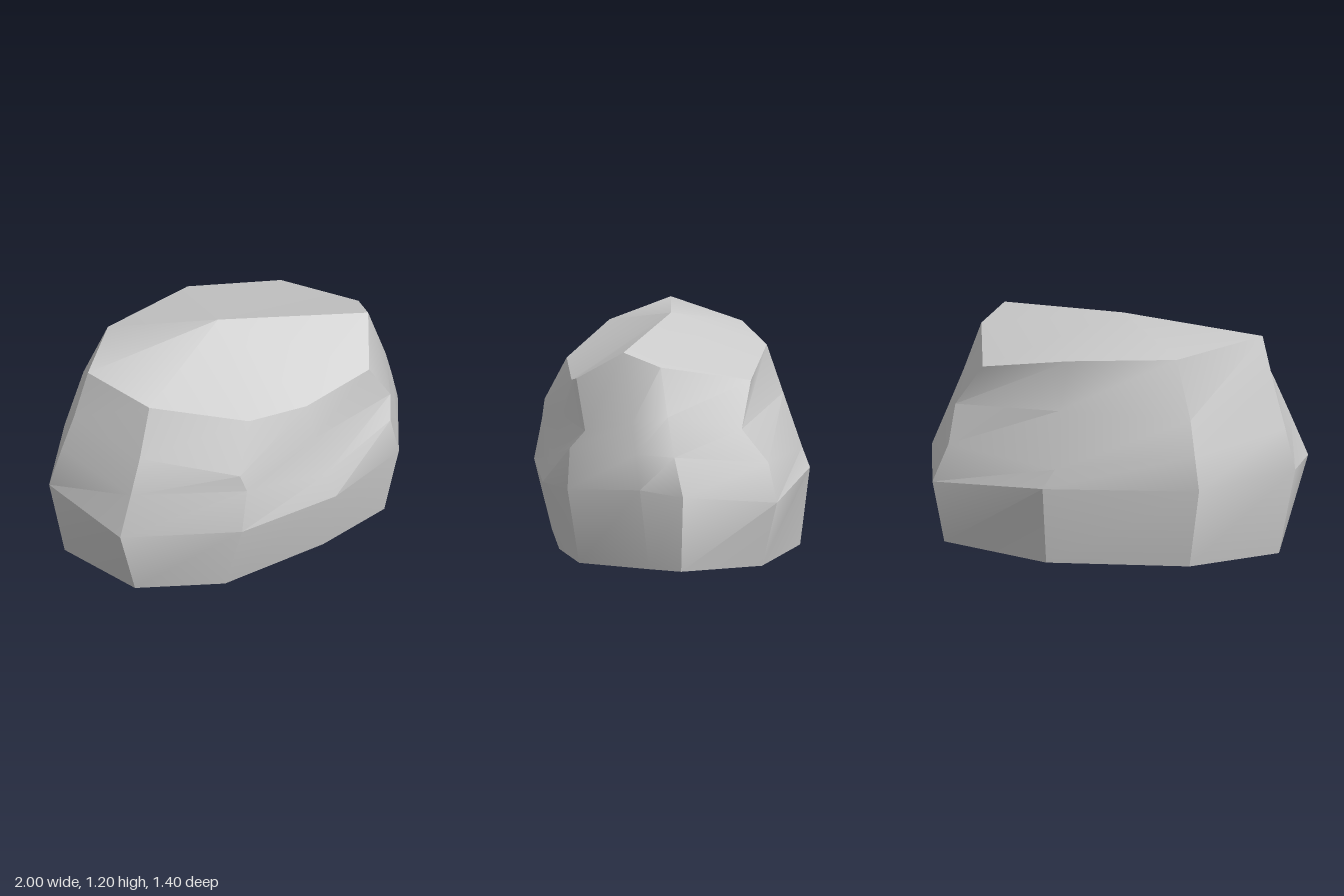
import * as THREE from 'three';
import { toCreasedNormals } from 'three/addons/utils/BufferGeometryUtils.js';

// Cross-sections from the ground to the crown. Each runs counterclockwise
// seen from above, starting at the back right: [x, y, z].
const rings = [
  // base
  [[-0.91, 0, -0.24], [-0.85, 0, 0.25], [-0.47, 0, 0.53], [0.14, 0, 0.61], [0.58, 0, 0.59],
    [0.84, 0, 0.27], [0.95, 0, 0.12], [0.85, 0, -0.33], [0.25, 0, -0.65], [-0.5, 0, -0.59]],
  // widest belt
  [[-1, 0.46, -0.26], [-0.97, 0.4, 0.27], [-0.44, 0.38, 0.63], [0.15, 0.36, 0.7], [0.62, 0.4, 0.66],
    [0.9, 0.43, 0.33], [1, 0.4, 0.12], [0.9, 0.34, -0.4], [0.26, 0.41, -0.7], [-0.56, 0.42, -0.64]],
  // lower shoulder
  [[-0.94, 0.68, -0.23], [-0.88, 0.62, 0.25], [-0.38, 0.6, 0.6], [0.13, 0.49, 0.65], [0.58, 0.61, 0.64],
    [0.85, 0.61, 0.34], [0.92, 0.6, 0.15], [0.82, 0.54, -0.37], [0.2, 0.51, -0.67], [-0.53, 0.6, -0.6]],
  // upper shoulder
  [[-0.88, 0.88, -0.2], [-0.8, 0.81, 0.23], [-0.41, 0.7, 0.58], [0.1, 0.7, 0.59], [0.64, 0.71, 0.57],
    [0.8, 0.77, 0.35], [0.84, 0.8, 0.17], [0.81, 0.72, -0.23], [0.2, 0.8, -0.57], [-0.5, 0.78, -0.56]],
  // crown rim
  [[-0.81, 1.15, -0.17], [-0.69, 1.06, 0.18], [-0.27, 0.94, 0.49], [0.09, 0.885, 0.535], [0.48, 0.96, 0.585],
    [0.66, 1.12, 0.37], [0.75, 1.05, 0.19], [0.65, 0.95, -0.31], [0.16, 1.05, -0.49], [-0.41, 1.08, -0.47]],
];
const peak = [-0.04, 1.2, -0.02];
const foot = [0, 0, 0];

function loftGeometry() {
  const n = rings[0].length;
  const top = rings.length - 1;
  const vertices = [...rings.flat(), peak, foot];
  const peakIndex = n * rings.length;
  const index = [];
  for (let j = 0; j < n; j++) {
    const k = (j + 1) % n;
    // side walls
    for (let r = 0; r < top; r++) {
      const a = r * n + j, b = r * n + k;
      index.push(a, b, b + n, a, b + n, a + n);
    }
    // crown and underside
    index.push(top * n + j, top * n + k, peakIndex);
    index.push(k, j, peakIndex + 1);
  }
  const geometry = new THREE.BufferGeometry();
  geometry.setAttribute('position', new THREE.Float32BufferAttribute(vertices.flat(), 3));
  geometry.setIndex(index);
  return toCreasedNormals(geometry, THREE.MathUtils.degToRad(32));
}

export function createModel() {
  const group = new THREE.Group();
  group.name = 'rock';
  const boulder = new THREE.Mesh(
    loftGeometry(),
    new THREE.MeshStandardMaterial({ color: 0xcccccc })
  );
  boulder.name = 'boulder';
  group.add(boulder);
  return group;
}
